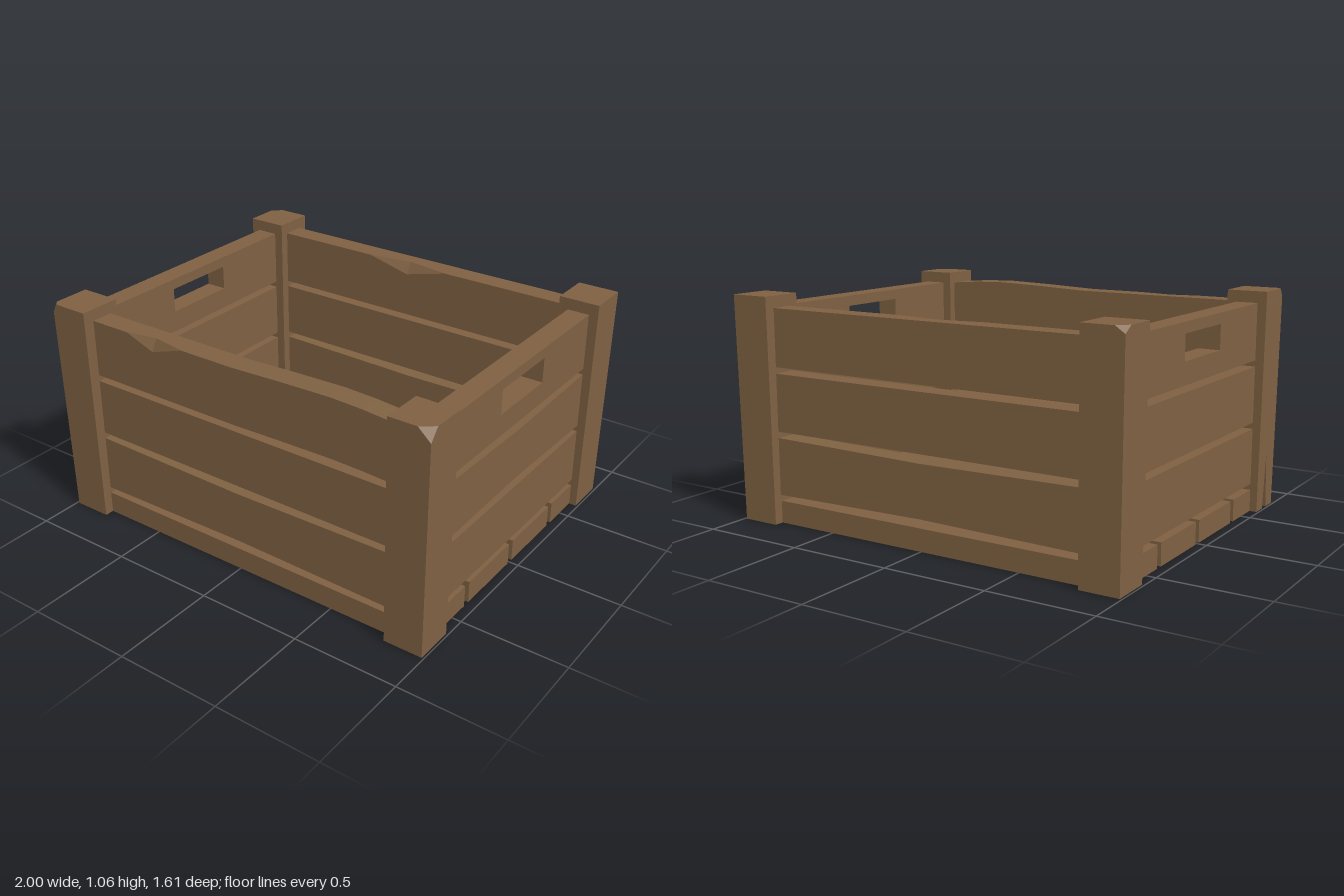
import * as THREE from 'three';
import { ConvexGeometry } from 'three/addons/geometries/ConvexGeometry.js';

const H = 1.06;

// Plank along x, lofted through stations; each may lift, pinch or chip the top +z edge
function plankGeometry(half, z0, z1, y0, y1, stations = []) {
  const rings = [{ x: -half }, ...stations, { x: half }].map((s) => {
    const { x, lift = 0, pinch = 0, drop = 0, cut = 0 } = s;
    const b = y0 + lift * 0.6 + pinch, t = y1 + lift - pinch;
    return [[x, b, z0], [x, b, z1], [x, t - drop, z1], [x, t, z1 - cut], [x, t, z0]];
  });
  const pos = [];
  const tri = (...p) => p.forEach((v) => pos.push(...v));
  for (let i = 0; i < rings.length - 1; i++) {
    for (let j = 0; j < 5; j++) {
      const k = (j + 1) % 5, A = rings[i], B = rings[i + 1];
      tri(A[j], B[j], B[k]);
      tri(A[j], B[k], A[k]);
    }
  }
  const first = rings[0], last = rings[rings.length - 1];
  for (let k = 1; k < 4; k++) {
    tri(first[0], first[k], first[k + 1]);
    tri(last[0], last[k + 1], last[k]);
  }
  const g = new THREE.BufferGeometry();
  g.setAttribute('position', new THREE.Float32BufferAttribute(pos, 3));
  g.computeVertexNormals();
  return g;
}

const hull = (pts) => new ConvexGeometry(pts.map((p) => new THREE.Vector3(...p)));

export function createModel() {
  const crate = new THREE.Group();
  crate.name = 'crate';
  const wood = new THREE.MeshStandardMaterial({ color: 0x7f6142 });
  wood.name = 'wood';
  const add = (name, geometry, parent = crate) => {
    const m = new THREE.Mesh(geometry, wood);
    m.name = name;
    parent.add(m);
    return m;
  };

  // Floor boards
  for (const [a, b] of [[-0.75, -0.4], [-0.365, -0.02], [0.015, 0.365], [0.4, 0.75]]) {
    add('floorBoard', plankGeometry(0.955, a, b, 0, 0.105));
  }

  // Front and back slats
  const pinched = [{ x: -0.4, pinch: 0.006 }, { x: 0, pinch: 0.012 }, { x: 0.4, pinch: 0.006 }];
  const frontTop = [
    { x: -0.6 }, { x: -0.45, drop: 0.055, cut: 0.03 }, { x: -0.28 }, { x: 0 },
    { x: 0.25, lift: 0.01 }, { x: 0.5, lift: 0.017 }, { x: 0.65, lift: 0.012 },
  ];
  const backTop = [{ x: -0.27 }, { x: -0.05, drop: 0.055, cut: 0.035 }, { x: 0.17 }];
  for (const [name, z0, z1, top] of [
    ['frontSlat', 0.645, 0.75, frontTop], ['backSlat', -0.755, -0.65, backTop],
  ]) {
    [pinched, [], top].forEach((stations, i) => {
      const y = 0.135 + i * 0.3;
      add(name, plankGeometry(0.805, z0, z1, y, y + 0.27, stations));
    });
  }

  // Side slats, the top one with a hand hole
  const sidePinch = pinched.map((s) => ({ x: s.x * 0.75, pinch: s.pinch * 1.2 }));
  for (const side of [1, -1]) {
    const x0 = side > 0 ? 0.85 : -0.955;
    for (let i = 0; i < 2; i++) {
      const y = 0.135 + i * 0.3;
      const stations = side > 0 && i === 1 ? sidePinch : [];
      add('sideSlat', plankGeometry(0.608, x0, x0 + 0.105, y, y + 0.27, stations)).rotation.y = Math.PI / 2;
    }
    const rect = (path, w, y0, y1) => path.moveTo(-w, y0).lineTo(w, y0).lineTo(w, y1).lineTo(-w, y1).closePath();
    const shape = rect(new THREE.Shape(), 0.608, 0.735, 1.005);
    shape.holes.push(rect(new THREE.Path(), 0.182, 0.838, 0.955));
    const handle = add('handleSlat', new THREE.ExtrudeGeometry(shape, { depth: 0.105, bevelEnabled: false }));
    handle.rotation.y = Math.PI / 2;
    handle.position.x = x0;
  }

  // Corner posts, slightly tapered, with chipped outer top corners
  const outX = (y) => 0.99 + (0.01 * y) / H;
  const outZ = (y) => 0.795 + (0.01 * y) / H;
  const inX = 0.805, inZ = 0.605;
  const postPoints = (sx, sz, base, chip) => {
    const pts = [];
    for (const y of [base, H]) {
      pts.push([inX, y, inZ], [outX(y), y, inZ], [inX, y, outZ(y)]);
    }
    pts.push([outX(base), base, outZ(base)]);
    if (chip) {
      const [cx, cy, cz] = chip;
      pts.push([1 - cx, H, 0.805], [1, H, 0.805 - cz], [outX(H - cy), H - cy, outZ(H - cy)]);
    } else pts.push([1, H, 0.805]);
    return pts.map(([x, y, z]) => [x * sx, y, z * sz]);
  };
  add('frontLeftPost', hull(postPoints(1, 1, 0, [0.06, 0.055, 0.045])));
  add('backLeftPost', hull(postPoints(1, -1, 0, null)));
  add('backRightPost', hull(postPoints(-1, -1, 0, [0.045, 0.03, 0.045])));

  // Front right post, split at the foot by a wedge-shaped crack
  const split = 0.27, deep = 0.94, mid = 0.7;
  const post = new THREE.Group();
  post.name = 'frontRightPost';
  crate.add(post);
  add('postUpper', hull(postPoints(-1, 1, split, [0.025, 0.04, 0.025])), post);
  const block = (x0, x1, z0, z1) => {
    const pts = [];
    for (const y of [0, split]) {
      for (const x of [x0, x1(y)]) pts.push([-x, y, z0(y)], [-x, y, z1(y)]);
    }
    return hull(pts);
  };
  const crack = (y) => 0.022 * (1 - y / split);
  add('postFoot', block(inX, () => deep, () => inZ, outZ), post);
  add('postFootInner', block(deep, outX, () => inZ, (y) => mid - crack(y)), post);
  add('postFootOuter', block(deep, outX, (y) => mid + crack(y), outZ), post);

  return crate;
}
